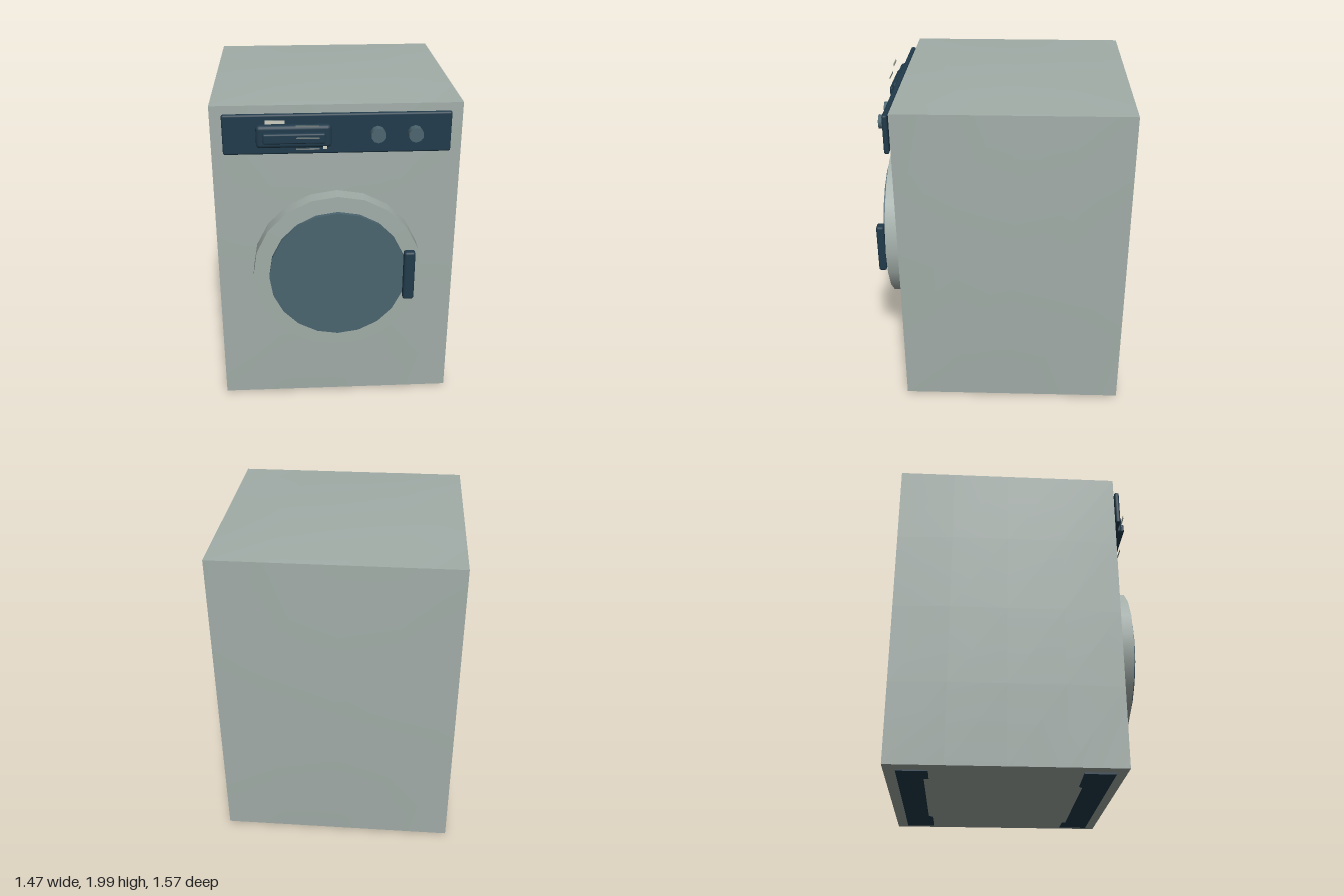
import * as THREE from 'three';
import { RoundedBoxGeometry } from 'three/addons/geometries/RoundedBoxGeometry.js';

const paint = (name, color) => {
  const m = new THREE.MeshStandardMaterial({ color });
  m.name = name;
  return m;
};

export function createModel() {
  const model = new THREE.Group();
  const shell = paint('greyEnamel', 0xa2ada8);
  const navy = paint('darkNavy', 0x213b4b);
  const glass = paint('blueGlass', 0x4b656f);
  const cream = paint('paleCream', 0xcfcfc0);
  const trim = paint('dullGrey', 0x75807e);

  const add = (name, geometry, material, x, y, z, parent = model) => {
    const mesh = new THREE.Mesh(geometry, material);
    mesh.name = name;
    mesh.position.set(x, y, z);
    parent.add(mesh);
    return mesh;
  };
  // Rounded block given by its extents
  const block = (name, material, [x0, x1], [y0, y1], [z0, z1], r, parent) =>
    add(name, new RoundedBoxGeometry(x1 - x0, y1 - y0, z1 - z0, 2, r), material,
      (x0 + x1) / 2, (y0 + y1) / 2, (z0 + z1) / 2, parent);
  // Disc or drum facing the front
  const drum = (name, material, r, x, y, z0, z1, sides, parent) =>
    add(name, new THREE.CylinderGeometry(r, r, z1 - z0, sides).rotateX(Math.PI / 2),
      material, x, y, (z0 + z1) / 2, parent);

  // Cabinet: straight edges, each face swelling slightly outwards
  const W = 1.44, H = 1.96, D = 1.375, swell = 0.017;
  const body = new THREE.BoxGeometry(W, H, D, 4, 4, 4);
  const p = body.attributes.position, n = body.attributes.normal;
  const half = [W / 2, H / 2, D / 2];
  for (let i = 0; i < p.count; i++) {
    let onEdge = 0;
    for (let a = 0; a < 3; a++) {
      if (Math.abs(p.getComponent(i, a)) > half[a] - 1e-4) onEdge++;
    }
    if (onEdge > 1) continue;
    for (let a = 0; a < 3; a++) {
      p.setComponent(i, a, p.getComponent(i, a) + n.getComponent(i, a) * swell);
    }
  }
  body.computeVertexNormals();
  add('cabinet', body, shell, 0, 1, -0.083);

  // Skids, partly sunk into the swollen base
  for (const [name, z] of [['rearSkid', -0.61], ['frontSkid', 0.45]]) {
    add(name, new THREE.BoxGeometry(1.28, 0.08, 0.18), navy, 0, 0.049, z);
  }

  // Control panel
  const panel = new THREE.Group();
  panel.name = 'controlPanel';
  model.add(panel);
  block('panelBoard', navy, [-0.65, 0.65], [1.705, 1.942], [0.626, 0.657], 0.012, panel);
  block('detergentDrawer', navy, [-0.46, -0.035], [1.757, 1.89], [0.65, 0.704], 0.022, panel);
  block('drawerGrip', navy, [-0.42, -0.07], [1.79, 1.85], [0.69, 0.726], 0.01, panel);
  for (const x of [0.228, 0.442]) {
    drum('dial', glass, 0.043, x, 1.824, 0.65, 0.71, 10, panel);
  }

  // Thin plates on and around the drawer: x, y, width, height, z
  const plates = [
    ['labelPlate', cream, -0.35, 1.923, 0.11, 0.02, 0.73],
    ['upperTrim', trim, -0.172, 1.896, 0.13, 0.008, 0.728],
    ['lowerTrim', trim, -0.17, 1.762, 0.13, 0.008, 0.728],
    ['gripMark', trim, -0.17, 1.826, 0.13, 0.007, 0.728],
    ['indicator', cream, -0.075, 1.767, 0.022, 0.016, 0.722],
  ];
  for (const [name, mat, x, y, w, h, z] of plates) {
    add(name, new THREE.BoxGeometry(w, h, 0.004), mat, x, y, z, panel);
  }

  // Door: drum-shaped rim, round window and upright handle
  const door = new THREE.Group();
  door.name = 'door';
  model.add(door);
  drum('doorRim', shell, 0.506, 0, 0.955, 0.6, 0.721, 20, door);
  drum('doorWindow', glass, 0.411, 0, 0.955, 0.7, 0.746, 20, door);
  block('doorHandle', navy, [0.392, 0.46], [0.795, 1.115], [0.732, 0.782], 0.015, door);

  return model;
}
